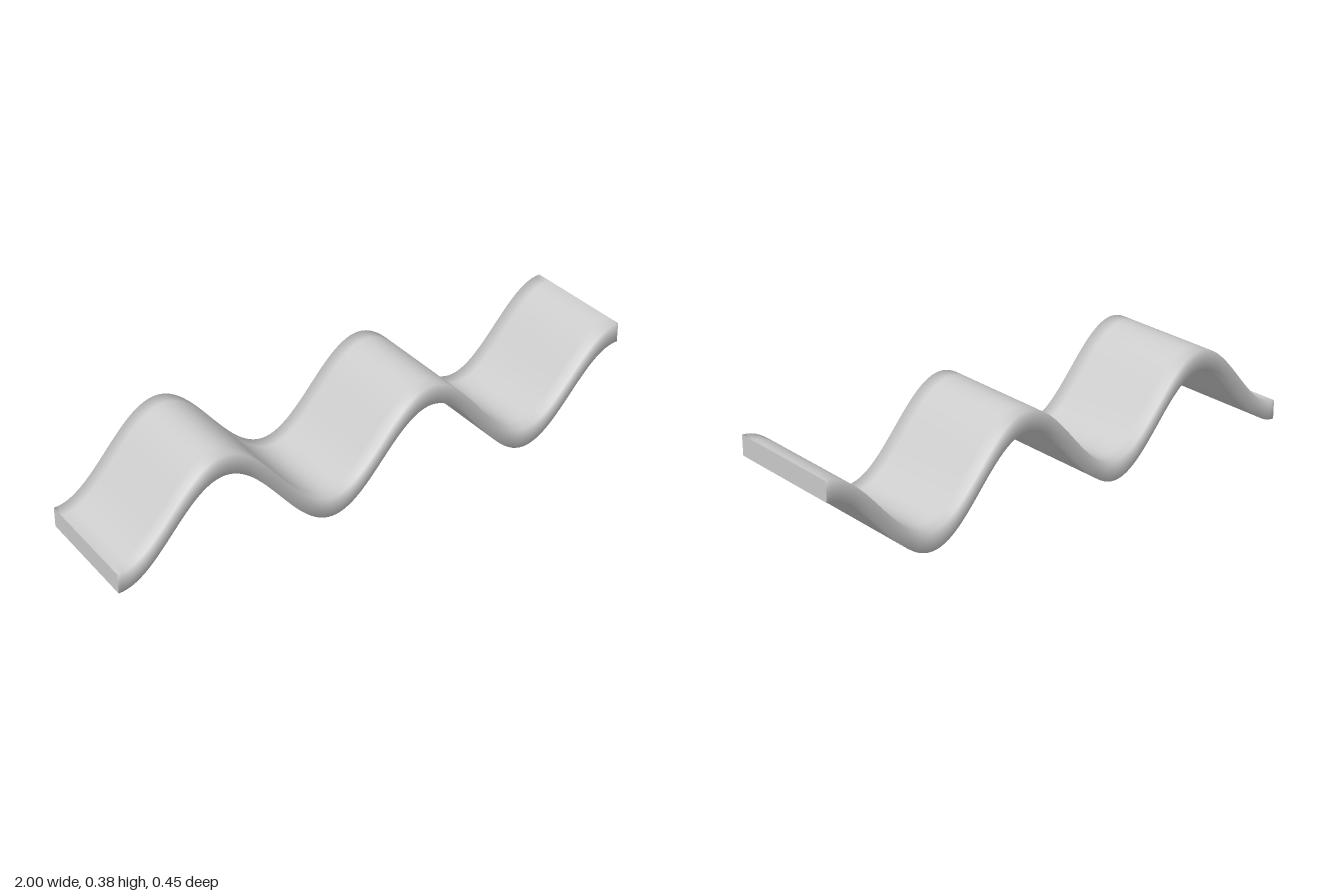
import * as THREE from 'three';
import { mergeVertices } from 'three/addons/utils/BufferGeometryUtils.js';

const LENGTH = 2, THICK = 0.073, DEPTH = 0.45;
const AMP = 0.151, PERIOD = 0.8;

// Height of the underside along the strip
const wave = (x) => AMP * (1 - Math.cos(((x + LENGTH / 2) / PERIOD) * Math.PI * 2));

// Part of the bent box covering the given face groups, with smooth shared normals
function bentFaces(groups) {
  const box = new THREE.BoxGeometry(LENGTH, THICK, DEPTH, 120, 1, 8);
  const pos = box.attributes.position;
  for (let i = 0; i < pos.count; i++) {
    pos.setY(i, pos.getY(i) + THICK / 2 + wave(pos.getX(i)));
  }
  const index = [];
  for (const g of groups) {
    const { start, count } = box.groups[g];
    for (let i = start; i < start + count; i++) index.push(box.index.getX(i));
  }
  const geo = new THREE.BufferGeometry();
  geo.setAttribute('position', pos);
  geo.setIndex(index);
  const merged = mergeVertices(geo, 1e-5);
  merged.computeVertexNormals();
  return merged;
}

export function createModel() {
  const model = new THREE.Group();
  model.name = 'wavyStrip';
  const material = new THREE.MeshStandardMaterial({ color: 0xcccccc });
  const add = (name, groups) => {
    const mesh = new THREE.Mesh(bentFaces(groups), material);
    mesh.name = name;
    model.add(mesh);
  };
  // Top, underside and long edges, shaded softly around the rims
  add('waveBand', [2, 3, 4, 5]);
  // Flat cut ends
  add('leftEnd', [0]);
  add('rightEnd', [1]);
  return model;
}
